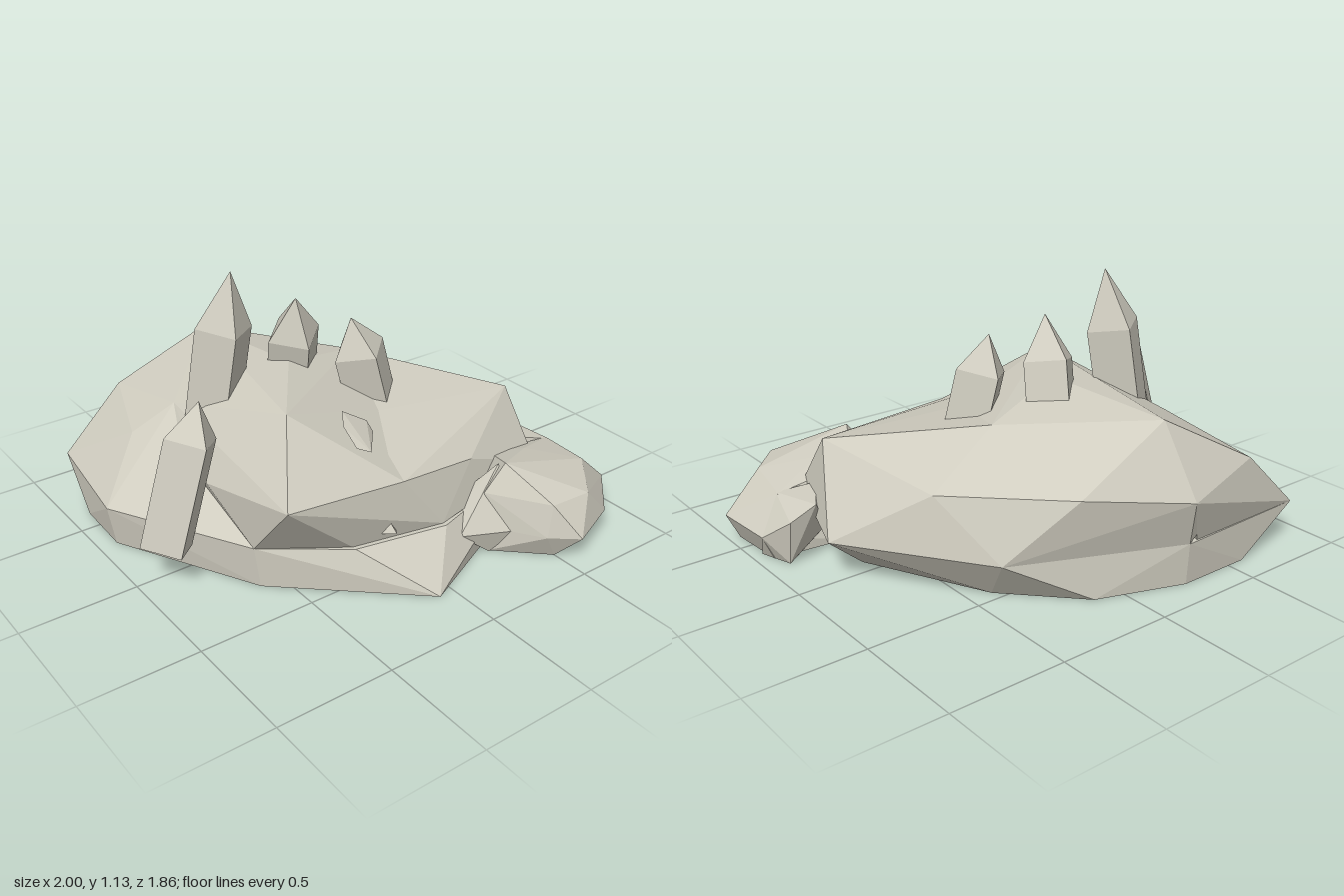
import * as THREE from 'three';
import { ConvexGeometry } from 'three/addons/geometries/ConvexGeometry.js';

const stone = new THREE.MeshStandardMaterial({ color: 0xcfccbf });
stone.name = 'pale stone';

// Faceted convex block from a few corner points
function block(name, points) {
  const mesh = new THREE.Mesh(new ConvexGeometry(points.map(p => new THREE.Vector3(...p))), stone);
  mesh.name = name;
  return mesh;
}

// Four-sided pointed prism: rings are square to the lean from base to tip
function crystal(name, base, tip, shoulder, rx, rz, turn) {
  const b = new THREE.Vector3(...base), t = new THREE.Vector3(...tip);
  const axis = t.clone().sub(b);
  const pts = [tip];
  for (const f of [0, shoulder]) {
    const c = b.clone().lerp(t, f);
    for (let i = 0; i < 4; i++) {
      const a = turn + (i * Math.PI) / 2;
      const dx = Math.cos(a) * rx, dz = Math.sin(a) * rz;
      pts.push([c.x + dx, c.y - (axis.x * dx + axis.z * dz) / axis.y, c.z + dz]);
    }
  }
  return block(name, pts);
}

export function createModel() {
  const model = new THREE.Group();
  model.name = 'crystalRock';

  // Foot of the boulder, narrower at the ground on the far side
  model.add(block('boulderFoot', [
    [0.66, 0, 0.08], [0.4, 0, -0.45], [0.12, 0, -0.74], [-0.25, 0, -0.87], [-0.58, 0, -0.87],
    [-0.91, 0, -0.61], [-0.92, 0, -0.33], [-0.6, 0, 0.29], [-0.07, 0, 0.77], [0.3, 0, 0.6],
    [0.58, 0, 0.4], [0.86, 0.18, 0], [0.71, 0.18, 0.42], [0.45, 0.18, -0.58], [-0.25, 0.18, -0.88],
    [-0.88, 0.18, -0.86], [-0.95, 0.18, -0.33], [-0.62, 0.18, 0.28], [-0.3, 0.18, 0.52], [0.1, 0.18, 0.6],
  ]));

  // Main slab overhanging the foot
  model.add(block('boulderSlab', [
    [0.25, 0.61, -0.26], [0.71, 0.5, 0.27], [0.08, 0.53, 0.17],
    [-0.21, 0.67, -0.75], [0.2, 0.44, -0.74], [0.58, 0.42, -0.32], [-0.57, 0.53, -0.4],
    [-0.61, 0.45, 0.51], [-0.08, 0.42, 0.54], [0.3, 0.38, 0.51], [0.71, 0.22, 0.48],
    [0.86, 0.18, 0], [0.45, 0.18, -0.58], [-0.22, 0.38, -0.93], [-0.25, 0.18, -0.88],
    [-0.62, 0.18, 0.28], [-0.3, 0.18, 0.5], [0.1, 0.18, 0.58], [-0.66, 0.36, 0],
    [-0.6, 0.45, -0.86],
  ]));

  // Raised ridge along the slab
  model.add(block('boulderRidge', [
    [-0.42, 0.69, 0.23], [-0.15, 0.7, -0.15], [-0.57, 0.53, -0.4], [-0.21, 0.67, -0.75],
    [0.25, 0.61, -0.26], [0.08, 0.53, 0.17], [-0.61, 0.45, 0.51], [-0.08, 0.42, 0.54],
    [-0.66, 0.36, 0],
  ]));

  // Low shoulder at the back corner
  model.add(block('boulderShoulder', [
    [-0.88, 0.18, -0.86], [-0.95, 0.18, -0.33], [-0.6, 0.45, -0.86], [-0.73, 0.4, -0.49],
    [-0.57, 0.53, -0.4], [-0.62, 0.18, 0.28], [-0.21, 0.66, -0.75], [-0.22, 0.38, -0.93],
    [-0.3, 0.18, -0.87],
  ]));

  // Small rock leaning on the front corner
  const small = new THREE.Group();
  small.name = 'smallRock';
  small.add(block('smallRockBody', [
    [0.39, 0.38, 0.62], [0.3, 0.26, 0.6], [0.47, 0.25, 0.83], [0.66, 0.25, 0.84], [0.62, 0.32, 0.5],
    [0.82, 0.27, 0.65], [0.86, 0.25, 0.4], [0.55, 0.11, 0.93], [0.79, 0.11, 0.83], [1, 0.11, 0.62],
    [0.98, 0.11, 0.33], [0.44, 0.11, 0.84], [0.36, 0.11, 0.72], [0.3, 0, 0.64], [0.5, 0, 0.83],
    [0.77, 0, 0.77], [0.95, 0, 0.6], [0.93, 0, 0.33], [0.6, 0, 0.3], [0.5, 0.3, 0.4],
  ]));
  small.add(block('smallRockSide', [
    [0.16, 0.11, 0.5], [0.16, 0.11, 0.62], [0.37, 0.11, 0.72], [0.3, 0.26, 0.52], [0.39, 0.36, 0.58],
    [0.3, 0, 0.65], [0.28, 0, 0.5], [0.5, 0, 0.5],
  ]));
  small.add(block('smallRockBack', [
    [0.81, 0.27, 0.17], [0.91, 0.2, 0.21], [0.98, 0.11, 0.33], [0.71, 0.28, 0.35], [0.86, 0.25, 0.42],
    [0.72, 0.12, 0.26], [0.9, 0, 0.25], [0.7, 0, 0.4], [0.95, 0, 0.4],
  ]));
  model.add(small);

  // Standing crystals
  model.add(crystal('tallCrystal', [-0.46, 0.5, -0.265], [-0.38, 1.135, -0.21], 0.62, 0.125, 0.125, 0.15));
  model.add(crystal('middleCrystal', [-0.06, 0.5, -0.27], [-0.11, 0.975, -0.15], 0.62, 0.125, 0.12, 0.05));
  model.add(crystal('frontCrystal', [0.16, 0.51, 0.015], [0.07, 0.89, -0.01], 0.6, 0.12, 0.125, 0.05));
  model.add(crystal('leaningCrystal', [-0.885, 0.175, 0.055], [-0.7, 0.76, 0.05], 0.75, 0.115, 0.12, 0));

  // Little shards poking out of the slab
  model.add(block('upperShard', [
    [-0.16, 0.63, 0.24], [-0.2, 0.6, 0.3], [-0.2, 0.54, 0.39], [-0.15, 0.52, 0.42],
    [-0.05, 0.53, 0.3], [-0.06, 0.57, 0.27], [-0.13, 0.55, 0.22],
  ]));
  model.add(block('lowerShard', [
    [-0.15, 0.28, 0.52], [-0.19, 0.21, 0.52], [-0.11, 0.21, 0.53], [-0.15, 0.23, 0.59], [-0.15, 0.25, 0.42],
  ]));

  return model;
}
